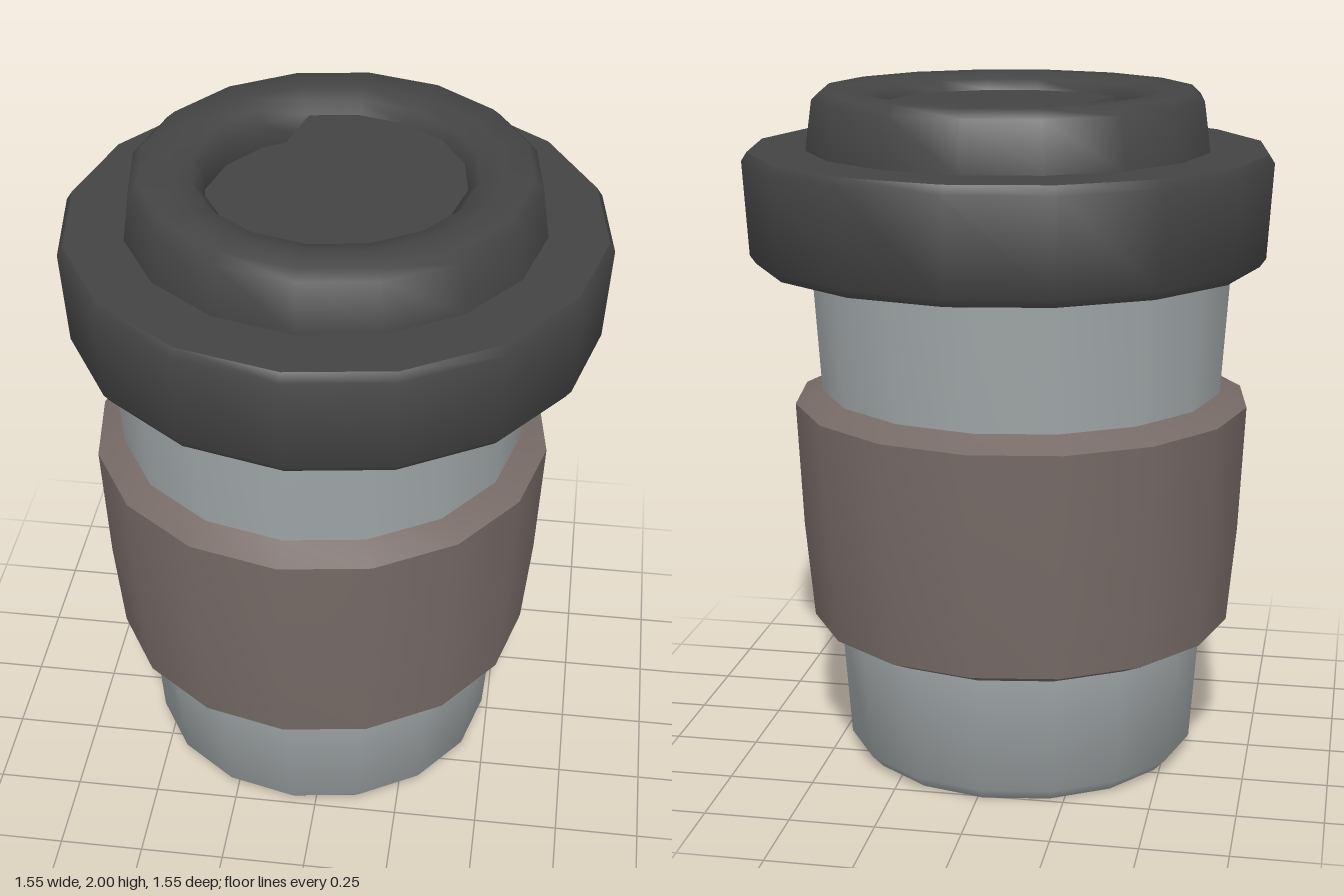
import * as THREE from 'three';
import { toCreasedNormals } from 'three/addons/utils/BufferGeometryUtils.js';
import { ConvexGeometry } from 'three/addons/geometries/ConvexGeometry.js';

const SIDES = 16;
const TURN = THREE.MathUtils.degToRad(3); // slight twist of the 16-sided rings

function material(name, color) {
  const m = new THREE.MeshStandardMaterial({ color });
  m.name = name;
  return m;
}

// Revolve a [radius, height] profile, keeping only the sharp edges creased
function turned(name, profile, mat) {
  const points = profile.map(([r, y]) => new THREE.Vector2(r, y));
  const lathe = new THREE.LatheGeometry(points, SIDES, -TURN);
  const mesh = new THREE.Mesh(toCreasedNormals(lathe, THREE.MathUtils.degToRad(52)), mat);
  mesh.name = name;
  return mesh;
}

// Flat drinking surface inside the rim, cut off along a chord with a sloping face
function lidFloor(mat) {
  const radius = 0.366, top = 1.955, bottom = 1.875;
  const slotAngle = TURN + Math.PI + Math.PI / SIDES;
  const nx = Math.cos(slotAngle), nz = Math.sin(slotAngle);
  const points = [];
  for (let i = 0; i < SIDES; i++) {
    const a = TURN + (i / SIDES) * Math.PI * 2;
    const x = radius * Math.cos(a), z = radius * Math.sin(a);
    const towardSlot = x * nx + z * nz;
    if (towardSlot > 0.21) continue;
    const slope = towardSlot > 0.19 ? 0.055 : 0;
    points.push(new THREE.Vector3(x, top, z));
    points.push(new THREE.Vector3(x + nx * slope, bottom, z + nz * slope));
  }
  const mesh = new THREE.Mesh(new ConvexGeometry(points), mat);
  mesh.name = 'lidFloor';
  return mesh;
}

export function createModel() {
  const grey = material('cup grey', 0xa0a6a8);
  const brown = material('sleeve brown', 0x766a66);
  const dark = material('lid charcoal', 0x444444);

  const model = new THREE.Group();
  model.name = 'travelCup';

  // Cup and sleeve sit slightly off the lid's axis
  const cup = new THREE.Group();
  cup.name = 'cup';
  cup.position.set(-0.043, 0, -0.02);
  cup.add(turned('cupBody', [
    [0, 0], [0.49, 0], [0.527, 0.04], [0.552, 0.39], [0.595, 1.13], [0.625, 1.6],
  ], grey));
  cup.add(turned('sleeve', [
    [0.55, 0.39], [0.632, 0.43], [0.658, 0.72], [0.675, 1.09], [0.592, 1.13],
  ], brown));
  model.add(cup);

  // Lid: underside, wide skirt, raised rim and the recess with its drinking slot
  const lid = new THREE.Group();
  lid.name = 'lid';
  lid.add(turned('lidShell', [
    [0, 1.505], [0.742, 1.505], [0.76, 1.53], [0.776, 1.805], [0.76, 1.83],
    [0.592, 1.83], [0.572, 1.975], [0.545, 2], [0.46, 2], [0.4, 1.985],
    [0.37, 1.955], [0.37, 1.88], [0, 1.88],
  ], dark));
  lid.add(lidFloor(dark));
  model.add(lid);

  return model;
}
